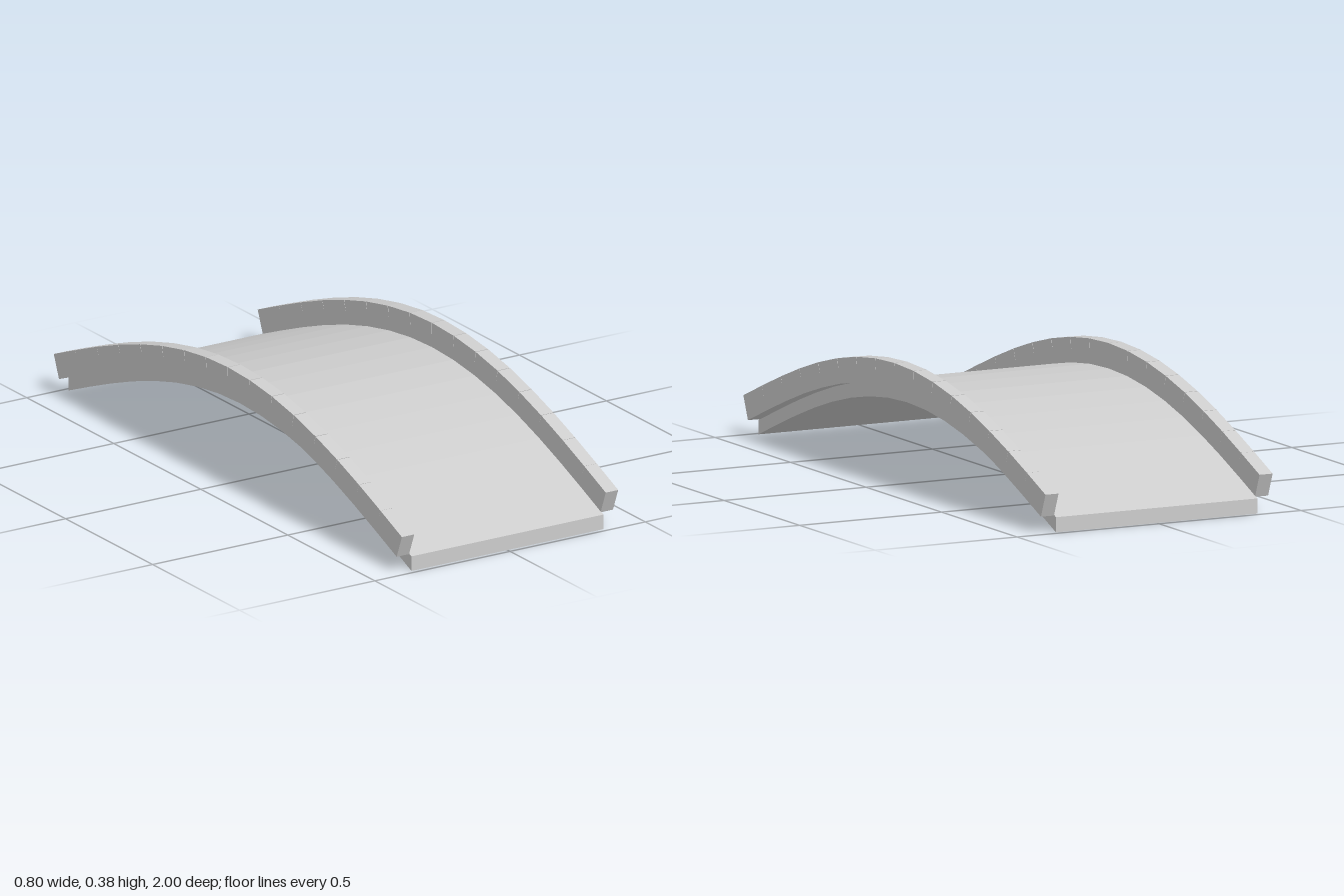
import * as THREE from 'three';

const HALF = 0.985;   // half length of the arch line
const SEGMENTS = 16;

// Height of the walking surface along z: a half cosine wave
const archHeight = (z) => 0.048 + 0.256 * Math.cos((Math.PI / 2) * (z / HALF));
const stationZ = (i) => -HALF + (2 * HALF * i) / SEGMENTS;

export function createModel() {
  const bridge = new THREE.Group();
  bridge.name = 'archBridge';

  const stone = new THREE.MeshStandardMaterial({ color: 0xcccccc });
  stone.name = 'light grey stone';

  // Deck: arched slab of constant vertical thickness
  const deckWidth = 0.71, deckThickness = 0.048;
  const top = [], bottom = [];
  for (let i = 0; i <= SEGMENTS; i++) {
    const z = stationZ(i), y = archHeight(z);
    top.push(new THREE.Vector2(z, y));
    bottom.push(new THREE.Vector2(z, y - deckThickness));
  }
  const deckShape = new THREE.Shape([...bottom, ...top.reverse()]);
  const deckGeometry = new THREE.ExtrudeGeometry(deckShape, { depth: deckWidth, bevelEnabled: false });
  deckGeometry.translate(0, 0, -deckWidth / 2).rotateY(-Math.PI / 2);
  const deck = new THREE.Mesh(deckGeometry, stone);
  deck.name = 'deck';
  bridge.add(deck);

  // Parapets: straight blocks along the arch, with hairline gaps at the top of the joints
  const wallWidth = 0.046, wallHeight = 0.08;
  for (const [side, name] of [[1, 'leftParapet'], [-1, 'rightParapet']]) {
    const parapet = new THREE.Group();
    parapet.name = name;
    for (let i = 0; i < SEGMENTS; i++) {
      const z0 = stationZ(i), z1 = stationZ(i + 1);
      const y0 = archHeight(z0), y1 = archHeight(z1);
      const length = Math.hypot(z1 - z0, y1 - y0);
      const block = new THREE.Mesh(new THREE.BoxGeometry(wallWidth, wallHeight, length), stone);
      block.name = 'parapetBlock';
      block.position.set(side * 0.377, (y0 + y1) / 2 + wallHeight / 2, (z0 + z1) / 2);
      block.rotation.x = -Math.atan2(y1 - y0, z1 - z0);
      parapet.add(block);
    }
    bridge.add(parapet);
  }

  return bridge;
}
